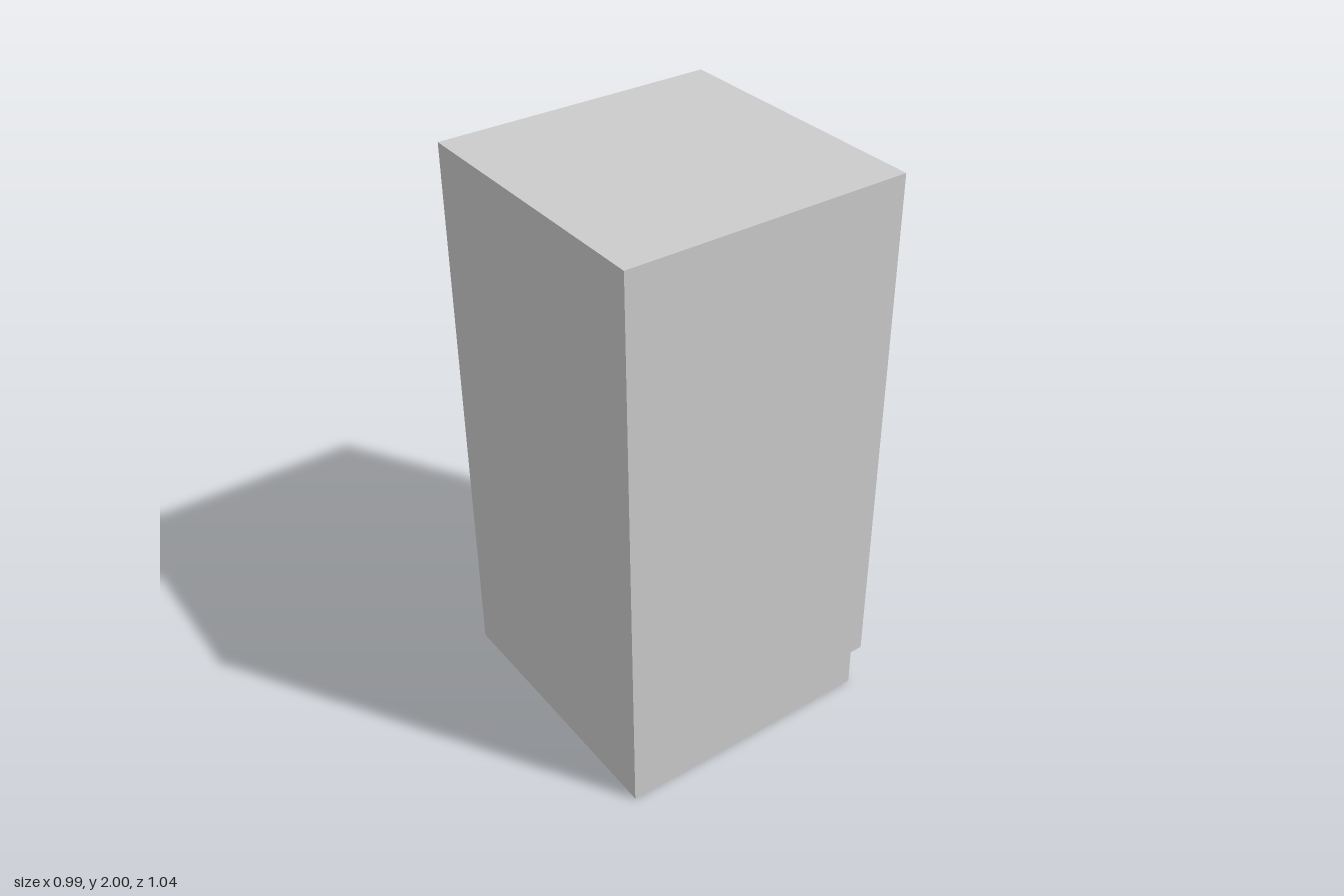
import * as THREE from 'three';

const material = new THREE.MeshStandardMaterial({ color: 0xcccccc });

// Box given by its low and high corners
function box(name, [x0, y0, z0], [x1, y1, z1]) {
  const mesh = new THREE.Mesh(new THREE.BoxGeometry(x1 - x0, y1 - y0, z1 - z0), material);
  mesh.position.set((x0 + x1) / 2, (y0 + y1) / 2, (z0 + z1) / 2);
  mesh.name = name;
  return mesh;
}

function rectangle(Type, x, y0, y1) {
  const s = new Type();
  s.moveTo(-x, y0).lineTo(x, y0).lineTo(x, y1).lineTo(-x, y1).closePath();
  return s;
}

export function createModel() {
  const group = new THREE.Group();
  group.name = 'cabinet';

  const halfWidth = 0.495, height = 2, front = 0.52;
  const frameZ = -0.472, recessZ = -0.447, plinthZ = -0.425, plinthTop = 0.14;

  // Carcass: side profile with a toe-kick step, extruded across the width
  const profile = new THREE.Shape([
    [-front, 0], [-plinthZ, 0], [-plinthZ, plinthTop],
    [-recessZ, plinthTop], [-recessZ, height], [-front, height],
  ].map(([a, b]) => new THREE.Vector2(a, b)));
  const carcassGeometry = new THREE.ExtrudeGeometry(profile, { depth: halfWidth * 2, bevelEnabled: false });
  carcassGeometry.translate(0, 0, -halfWidth).rotateY(Math.PI / 2);
  const carcass = new THREE.Mesh(carcassGeometry, material);
  carcass.name = 'carcass';
  group.add(carcass);

  // Raised frame around the recessed door opening
  const outline = rectangle(THREE.Shape, halfWidth, plinthTop, height);
  outline.holes.push(rectangle(THREE.Path, 0.435, plinthTop + 0.06, height - 0.06));
  const frame = new THREE.Mesh(
    new THREE.ExtrudeGeometry(outline, { depth: recessZ - frameZ, bevelEnabled: false }), material);
  frame.position.z = frameZ;
  frame.name = 'doorFrame';
  group.add(frame);

  // Door panel standing proud of the frame
  group.add(box('door', [-0.378, 0.255, -0.497], [0.378, 1.885, recessZ]));

  // Two bar handles
  for (const [name, y] of [['upperHandle', 1.563], ['lowerHandle', 1.442]]) {
    group.add(box(name, [-0.34, y - 0.019, -0.52], [-0.18, y + 0.019, -0.497]));
  }
  return group;
}
